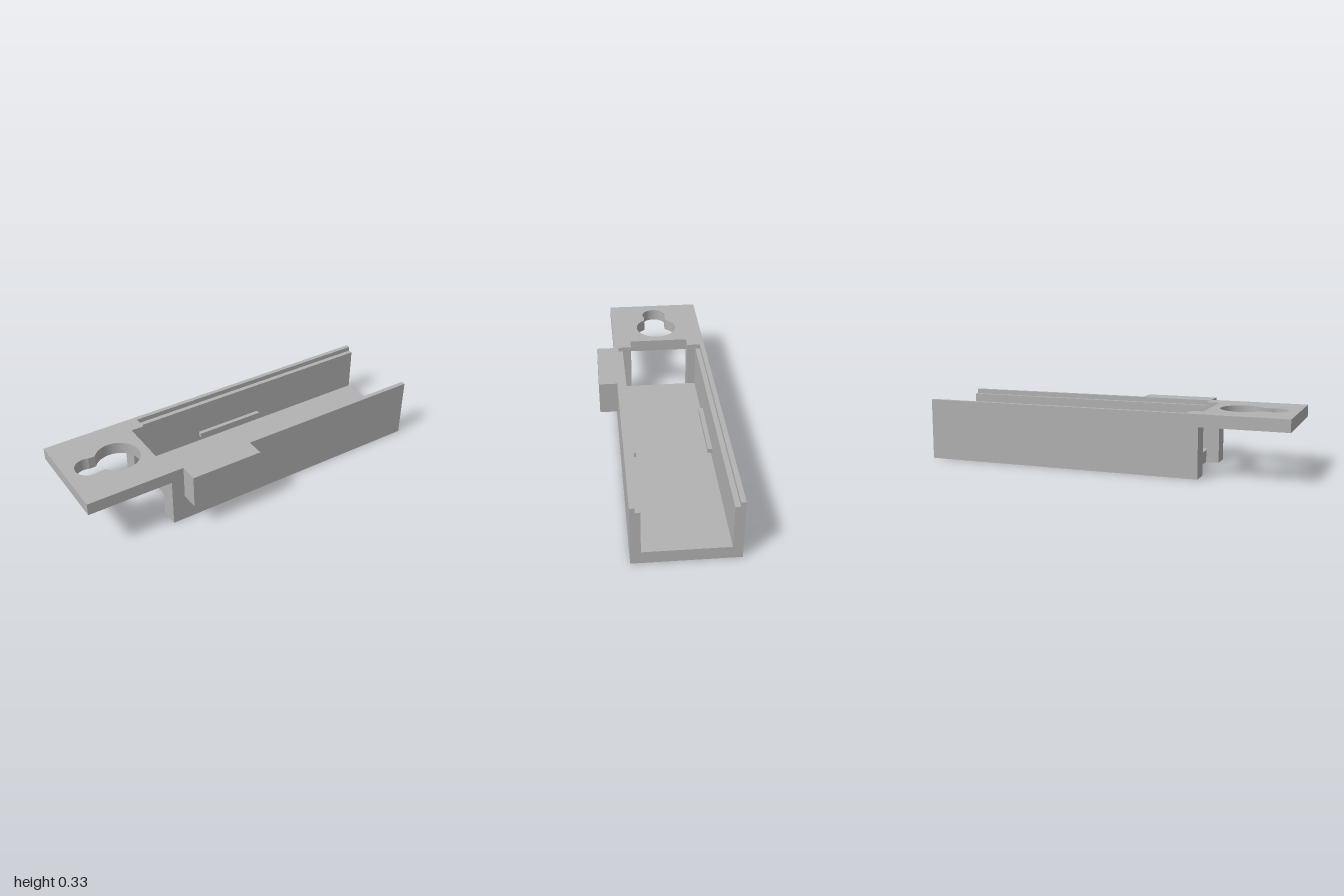
import * as THREE from 'three';

export function createModel() {
  const group = new THREE.Group();
  const grey = new THREE.MeshStandardMaterial({ color: 0xb2b2b2 });
  grey.name = 'grey';

  const add = (name, geometry) => {
    const mesh = new THREE.Mesh(geometry, grey);
    mesh.name = name;
    group.add(mesh);
  };
  // Box from its lower and upper limits on each axis
  const box = (name, [x0, x1], [y0, y1], [z0, z1]) => add(name,
    new THREE.BoxGeometry(x1 - x0, y1 - y0, z1 - z0)
      .translate((x0 + x1) / 2, (y0 + y1) / 2, (z0 + z1) / 2));

  const top = 0.333, mid = -0.05; // rim height, centre line of the channel in z
  const endX = -0.54, innerX = -0.47;

  // Open channel with stepped rims: half section as [distance from centre line, y]
  const half = [[0.267, 0], [0.267, top], [0.242, top], [0.242, 0.307], [0.216, 0.307], [0.216, 0.067]];
  const section = [...half, ...half.map(([d, y]) => [-d, y]).reverse()];
  const profile = new THREE.Shape(section.map(([d, y]) => new THREE.Vector2(d - mid, y)));
  add('channel', new THREE.ExtrudeGeometry(profile, { depth: 1 - innerX, bevelEnabled: false })
    .rotateY(Math.PI / 2).translate(innerX, 0, 0));

  for (const s of [-1, 1]) {
    const span = (a, b) => [mid + s * a, mid + s * b].sort((p, q) => p - q);
    // End posts beside the open slot
    box(s > 0 ? 'frontEndPost' : 'backEndPost', [endX, innerX], [0, top], span(0.167, 0.267));
    // Small retaining ribs on the inner walls
    box(s > 0 ? 'frontRib' : 'backRib', [-0.1, 0.3], [0.1, 0.127], span(0.192, 0.216));
  }

  // Mounting tab with a keyhole
  const tab = new THREE.Shape([[-1, -0.217], [endX, -0.217], [endX, 0.317], [-1, 0.317]]
    .map(([x, y]) => new THREE.Vector2(x, y)));
  const keyhole = new THREE.Path();
  const big = 0.117, small = 0.07, slot = 0.064;
  const a = Math.PI - Math.asin(slot / big), b = Math.asin(slot / small);
  keyhole.absarc(-0.705, -mid, big, -a, a, false);
  keyhole.absarc(-0.87, -mid, small, b, 2 * Math.PI - b, false);
  keyhole.closePath();
  tab.holes.push(keyhole);
  add('mountingTab', new THREE.ExtrudeGeometry(tab, { depth: top - 0.267, bevelEnabled: false, curveSegments: 40 })
    .rotateX(-Math.PI / 2).translate(0, 0.267, 0));

  // Block on the outer front wall
  box('sideBlock', [-0.47, -0.07], [0.15, top], [0.217, 0.317]);

  return group;
}
